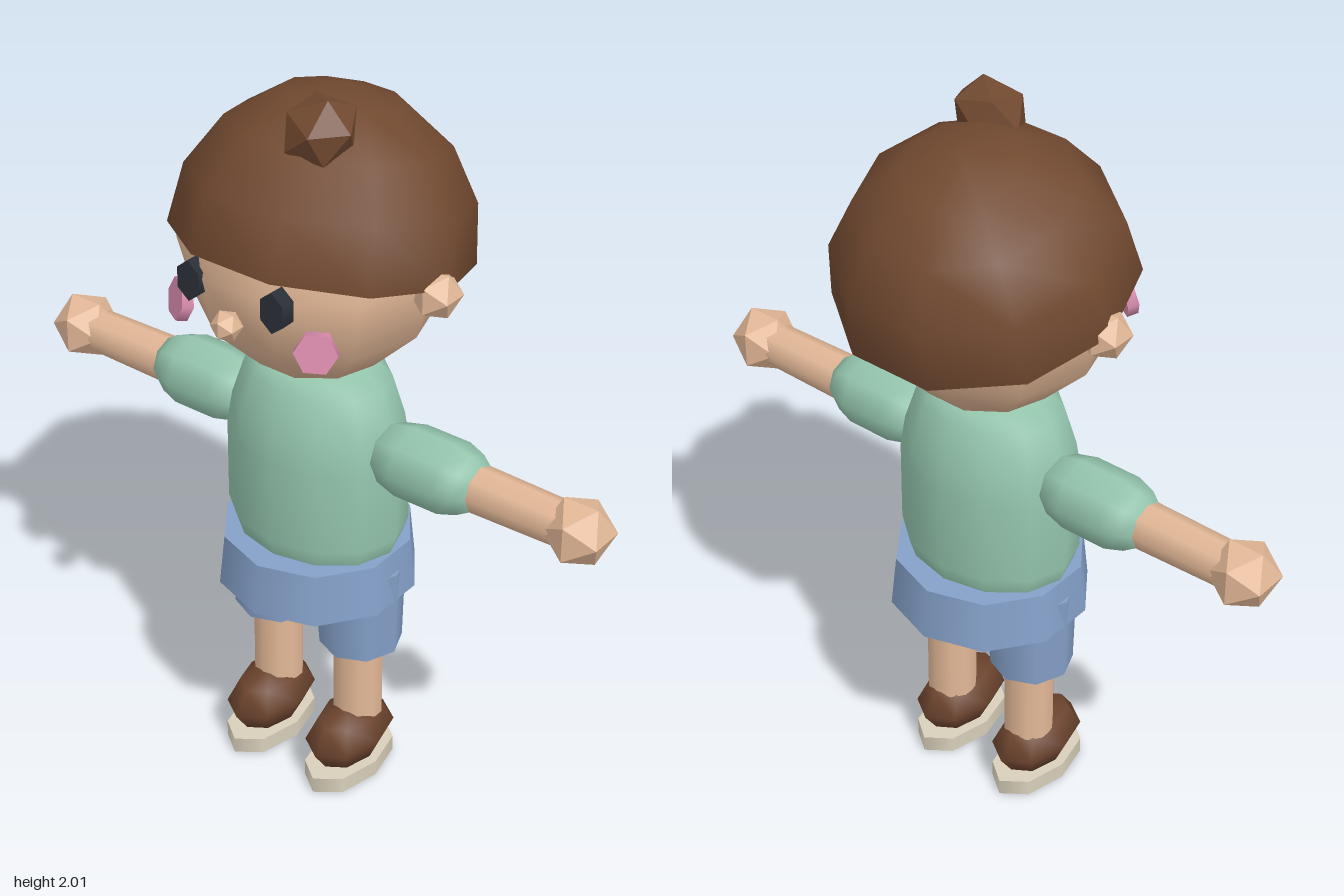
import * as THREE from 'three';

const mat = (color) => new THREE.MeshStandardMaterial({ color });
const skin = mat(0xe3b897), hairBrown = mat(0x714930), green = mat(0x95c6ae);
const blue = mat(0x84a0c8), shoeBrown = mat(0x6b432d), cream = mat(0xd8cfba);
const pink = mat(0xd98cad), dark = mat(0x2c3139);

function add(parent, name, geometry, material, x = 0, y = 0, z = 0) {
  const mesh = new THREE.Mesh(geometry, material);
  mesh.name = name;
  mesh.position.set(x, y, z);
  parent.add(mesh);
  return mesh;
}

// Profile points are [radius, height], from bottom to top.
const lathe = (points, sides) =>
  new THREE.LatheGeometry(points.map(([r, h]) => new THREE.Vector2(r, h)), sides);

// Faceted ball
function gem(radius) {
  return new THREE.IcosahedronGeometry(radius, 0);
}

function buildHead() {
  const head = new THREE.Group();
  head.name = 'head';
  add(head, 'face', new THREE.SphereGeometry(0.345, 10, 6), skin, 0, 1.56, 0);

  // Hair cap, tipped up at the forehead
  const capMat = hairBrown.clone();
  capMat.side = THREE.DoubleSide;
  const cap = add(head, 'hair',
    new THREE.SphereGeometry(0.382, 10, 4, 0, Math.PI * 2, 0, Math.PI * 0.52),
    capMat, 0, 1.564, -0.022);
  cap.rotation.x = -0.23;

  // Tuft on the crown
  const tuft = add(head, 'hairTuft', gem(0.1), hairBrown, 0.09, 1.922, 0.108);
  tuft.rotation.set(0.3, 0.5, 0.25);
  tuft.scale.y = 0.85;

  add(head, 'nose', gem(0.04), skin, 0, 1.478, 0.352);

  for (const s of [1, -1]) {
    const side = s > 0 ? 'left' : 'right';
    add(head, side + 'Ear', gem(0.066), skin, s * 0.353, 1.53, 0);

    const eye = add(head, side + 'Eye', new THREE.CylinderGeometry(0.055, 0.055, 0.04, 6),
      dark, s * 0.126, 1.55, 0.32);
    eye.rotation.x = Math.PI / 2;
    eye.scale.x = 0.7;

    const cheek = add(head, side + 'Cheek', new THREE.CylinderGeometry(0.054, 0.054, 0.03, 6),
      pink, s * 0.207, 1.443, 0.275);
    cheek.quaternion.setFromUnitVectors(new THREE.Vector3(0, 1, 0),
      new THREE.Vector3(s * 0.5, 0.2, 0.8).normalize());
  }
  return head;
}

function buildArm(s) {
  const arm = new THREE.Group();
  arm.name = s > 0 ? 'leftArm' : 'rightArm';
  arm.position.y = 1.03;
  const out = -s * Math.PI / 2; // turns +y outwards along the arm
  const sleeve = add(arm, 'sleeve', lathe([
    [0, 0.17], [0.05, 0.19], [0.083, 0.23], [0.098, 0.29],
    [0.098, 0.42], [0.082, 0.47], [0.058, 0.505], [0, 0.515],
  ], 8), green);
  sleeve.rotation.z = out;
  const forearm = add(arm, 'forearm', new THREE.CylinderGeometry(0.058, 0.064, 0.36, 8), skin, s * 0.6, 0, 0);
  forearm.rotation.z = out;
  add(arm, 'hand', gem(0.092), skin, s * 0.787, 0, 0);
  return arm;
}

function buildLeg(s) {
  const leg = new THREE.Group();
  leg.name = s > 0 ? 'leftLeg' : 'rightLeg';
  leg.position.x = s * 0.135;
  const shorts = add(leg, 'shortsLeg', new THREE.CylinderGeometry(0.122, 0.11, 0.25, 8), blue, s * 0.004, 0.532, 0);
  shorts.rotation.z = s * 0.03;
  add(leg, 'shin', new THREE.CylinderGeometry(0.068, 0.068, 0.32, 10), skin, 0, 0.33, 0);
  const shoe = add(leg, 'shoe', new THREE.SphereGeometry(1, 8, 4), shoeBrown, 0, 0.115, 0.035);
  shoe.scale.set(0.096, 0.09, 0.152);
  const sole = add(leg, 'sole', new THREE.CylinderGeometry(1, 1, 0.046, 8), cream, 0, 0.023, 0.037);
  sole.scale.set(0.09, 1, 0.16);
  return leg;
}

export function createModel() {
  const model = new THREE.Group();
  model.name = 'child';

  // Shirt: rounded torso, flattened front to back
  const shirt = add(model, 'shirt', lathe([
    [0, 0.53], [0.09, 0.55], [0.17, 0.62], [0.225, 0.7], [0.25, 0.77],
    [0.25, 1.0], [0.235, 1.09], [0.2, 1.195], [0.15, 1.235], [0, 1.24],
  ], 12), green);
  shirt.scale.z = 0.8;

  // Flared waist of the shorts
  add(model, 'shortsWaist', new THREE.CylinderGeometry(0.252, 0.267, 0.142, 10), blue, 0, 0.65, 0);

  model.add(buildHead());
  for (const s of [1, -1]) model.add(buildArm(s), buildLeg(s));
  return model;
}
